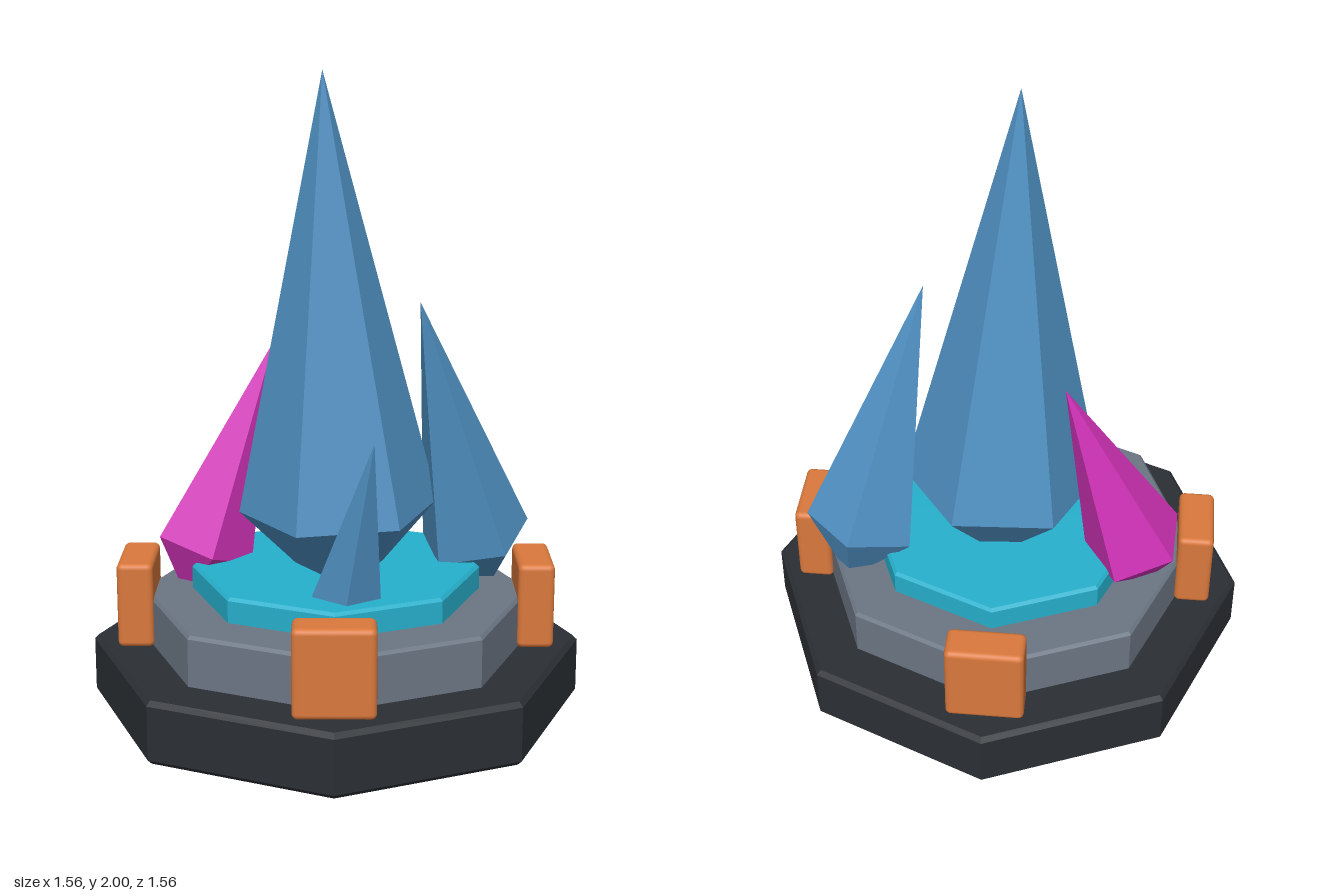
import * as THREE from 'three';
import { RoundedBoxGeometry } from 'three/addons/geometries/RoundedBoxGeometry.js';

const material = (color) => new THREE.MeshStandardMaterial({ color, flatShading: true });

// Faceted solid turned from a profile of [radius, y] pairs, bottom to top
function faceted(name, profile, sides, startAngle, mat) {
  const points = profile.map(([r, y]) => new THREE.Vector2(r, y));
  const geometry = new THREE.LatheGeometry(points, sides, startAngle).toNonIndexed();
  geometry.computeVertexNormals();
  const mesh = new THREE.Mesh(geometry, mat);
  mesh.name = name;
  return mesh;
}

// Octagonal slab with chamfered rims
function tier(name, radius, y0, y1, bevel, mat) {
  return faceted(name, [
    [0, y0], [radius - bevel, y0], [radius, y0 + bevel],
    [radius, y1 - bevel], [radius - bevel, y1], [0, y1],
  ], 8, 0, mat);
}

// Double-pointed crystal: widest at its girdle, a fifth of the way up, and leaning to its tip
function crystal(name, girdle, tip, radius, sides, angleDeg, mat) {
  const center = new THREE.Vector3(...girdle);
  const axis = new THREE.Vector3(...tip).sub(center);
  const length = axis.length();
  const mesh = faceted(name, [[0, -length / 4], [radius, 0], [0, length]],
    sides, THREE.MathUtils.degToRad(angleDeg), mat);
  mesh.position.copy(center);
  mesh.quaternion.setFromUnitVectors(new THREE.Vector3(0, 1, 0), axis.normalize());
  return mesh;
}

export function createModel() {
  const group = new THREE.Group();
  group.name = 'crystalPedestal';

  // Stepped pedestal
  group.add(
    tier('base', 0.78, 0, 0.2, 0.015, material(0x2b2f34)),
    tier('middleTier', 0.62, 0.19, 0.36, 0.01, material(0x6b7684)),
    tier('glowingTier', 0.46, 0.35, 0.44, 0.01, material(0x26b0cc)),
  );

  // Four clamps around the middle tier
  const clampMaterial = new THREE.MeshStandardMaterial({ color: 0xd9783c });
  const clampGeometry = new RoundedBoxGeometry(0.245, 0.275, 0.115, 3, 0.018);
  for (let i = 0; i < 4; i++) {
    const angle = i * Math.PI / 2;
    const clamp = new THREE.Mesh(clampGeometry, clampMaterial);
    clamp.name = 'clamp';
    clamp.position.set(Math.sin(angle) * 0.632, 0.3375, Math.cos(angle) * 0.632);
    clamp.rotation.y = angle;
    group.add(clamp);
  }

  // Crystal cluster
  const blue = material(0x4f90c2);
  group.add(
    crystal('mainCrystal', [0.01, 0.63, -0.02], [-0.04, 2, 0.04], 0.318, 6, -84, blue),
    crystal('leftCrystal', [0.453, 0.49, -0.149], [0.26, 1.3, 0.055], 0.185, 5, 100, blue),
    crystal('frontCrystal', [0.035, 0.42, 0.28], [0.115, 0.95, 0.44], 0.115, 5, -3, blue),
    crystal('rightCrystal', [-0.434, 0.46, -0.126], [-0.2, 1.13, -0.205], 0.168, 5, 14, material(0xd433ba)),
  );
  return group;
}
